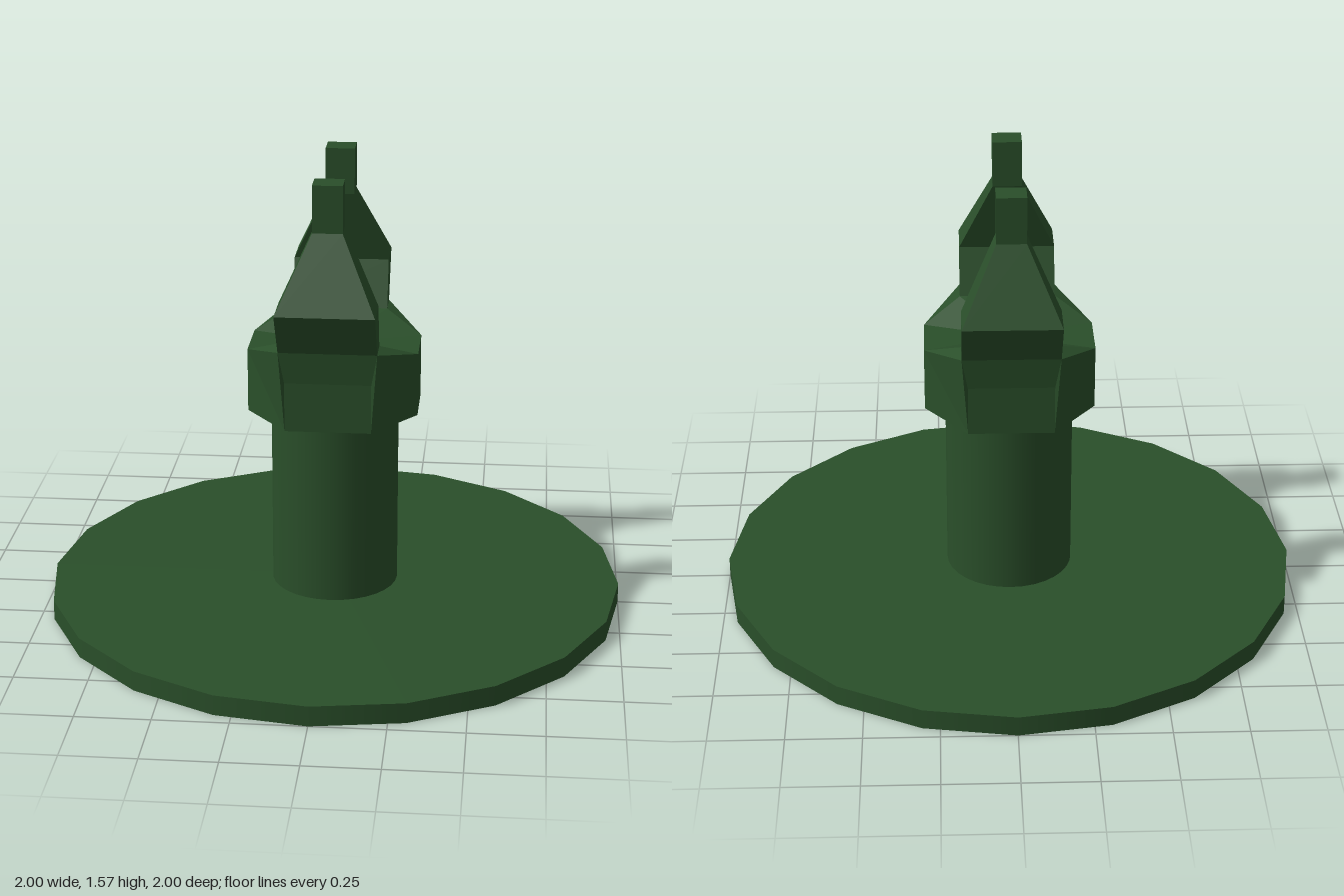
import * as THREE from 'three';

const color = 0x2a4f2a;
const smooth = new THREE.MeshStandardMaterial({ color });
const flat = new THREE.MeshStandardMaterial({ color, flatShading: true });

function add(group, name, geometry, material) {
  const mesh = new THREE.Mesh(geometry, material);
  mesh.name = name;
  group.add(mesh);
  return mesh;
}

function disc(radius, y0, y1, sides) {
  return new THREE.CylinderGeometry(radius, radius, y1 - y0, sides).translate(0, (y0 + y1) / 2, 0);
}

// Eight-sided collar with a V-shaped top: one quarter, mirrored in x and z
function collarGeometry() {
  const y0 = 0.72;
  const O0 = [0, y0, 0], M0 = [0.29, y0, 0], A0 = [0.29, y0, 0.1], B0 = [0.145, y0, 0.29], F0 = [0, y0, 0.29];
  const O = [0, 0.94, 0], M = [0.29, 0.94, 0], A = [0.29, 0.94, 0.1];
  const B = [0.145, 0.89, 0.29], F = [0, 0.89, 0.29];
  const C = [0.165, 1, 0.3], CF = [0, 1, 0.3], D = [0.165, 1, 0.2], DF = [0, 1, 0.2];
  const faces = [
    [A0, M0, M, A],       // side
    [B0, A0, A, C, B],    // corner
    [F0, B0, B, F],       // front
    [F, B, C, CF],        // flare below the prong
    [O, DF, D, A, M],     // sloping top
    [D, C, A],            // shoulder
    [M0, A0, B0, F0, O0], // underside
  ];
  const pos = [];
  for (const sx of [1, -1]) for (const sz of [1, -1]) for (const f of faces) {
    for (let i = 1; i < f.length - 1; i++) {
      const tri = sx * sz > 0 ? [f[0], f[i], f[i + 1]] : [f[0], f[i + 1], f[i]];
      for (const [x, y, z] of tri) pos.push(x * sx, y, z * sz);
    }
  }
  const g = new THREE.BufferGeometry();
  g.setAttribute('position', new THREE.Float32BufferAttribute(pos, 3));
  g.computeVertexNormals();
  return g;
}

// Bent, tapering prong: box rows moved onto sections [y, half width, inner z, outer z]
function prongGeometry() {
  const sections = [
    [1.0, 0.165, 0.2, 0.3],
    [1.16, 0.165, 0.26, 0.41],
    [1.41, 0.05, 0.2, 0.29],
    [1.57, 0.05, 0.2, 0.29],
  ];
  const g = new THREE.BoxGeometry(1, 3, 1, 1, 3, 1).toNonIndexed();
  const p = g.attributes.position;
  for (let i = 0; i < p.count; i++) {
    const [y, w, zIn, zOut] = sections[Math.round(p.getY(i) + 1.5)];
    p.setXYZ(i, Math.sign(p.getX(i)) * w, y, p.getZ(i) > 0 ? zOut : zIn);
  }
  g.computeVertexNormals();
  return g;
}

export function createModel() {
  const group = new THREE.Group();
  group.name = 'prongedStand';
  add(group, 'base', disc(1, 0, 0.07, 20), smooth);
  add(group, 'post', disc(0.22, 0.07, 0.72, 32), smooth);
  add(group, 'collar', collarGeometry(), flat);
  const prong = prongGeometry();
  add(group, 'frontProng', prong, flat);
  add(group, 'backProng', prong, flat).rotation.y = Math.PI;
  return group;
}
